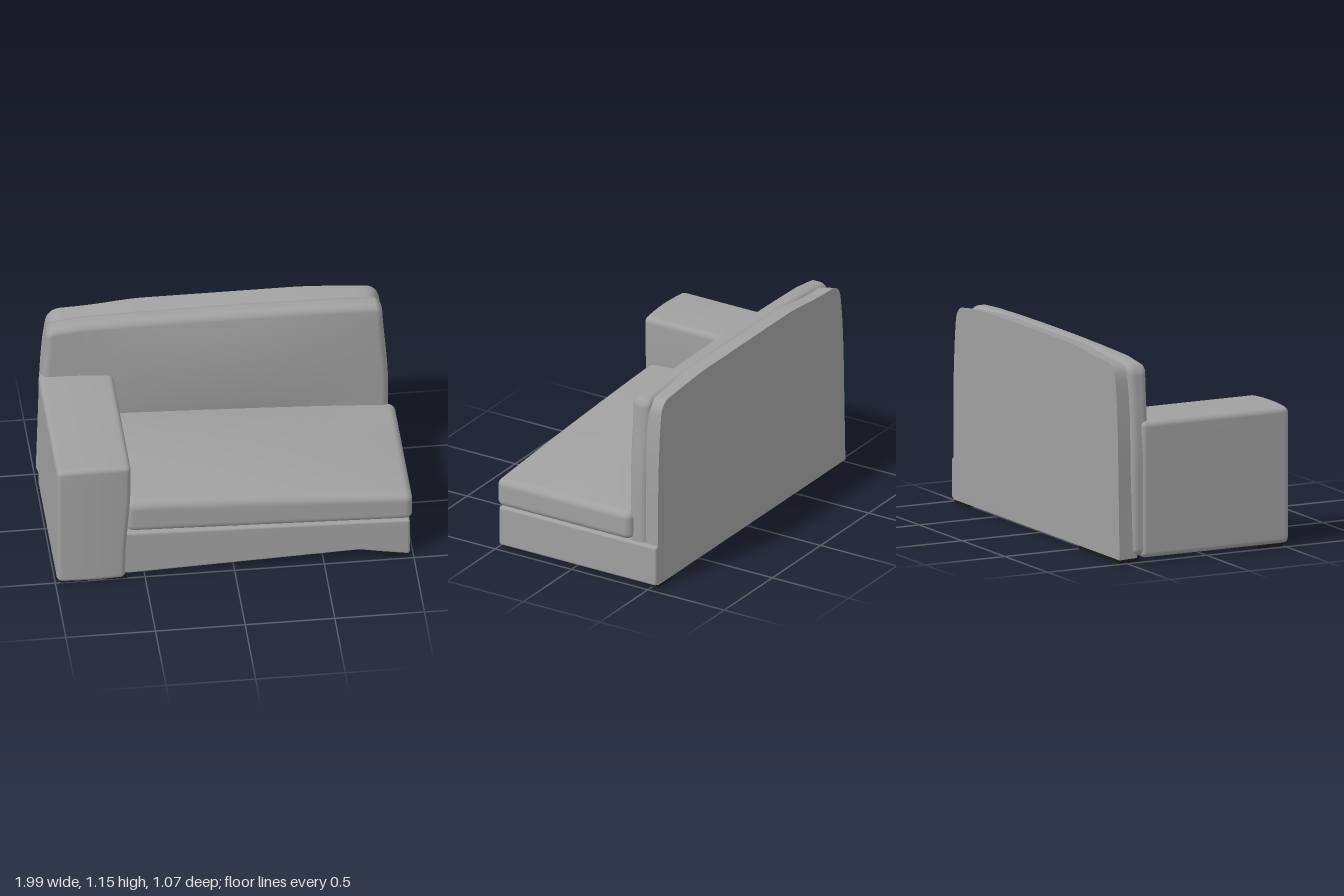
import * as THREE from 'three';
import { mergeVertices, toCreasedNormals } from 'three/addons/utils/BufferGeometryUtils.js';

const N = 20, C = 4; // grid per face, cells used by each rounded edge

// Rounded box between two corners, optionally reshaped by warp(vector)
function softBox(min, max, r, warp) {
  const geo = new THREE.BoxGeometry(2, 2, 2, N, N, N);
  geo.deleteAttribute('uv');
  geo.deleteAttribute('normal');
  const pos = geo.attributes.position;
  const v = new THREE.Vector3(), inner = new THREE.Vector3();
  const spread = (t, a, b) => {
    const i = Math.round((t + 1) * N / 2);
    if (i <= C) return a + r * i / C;
    if (i >= N - C) return b - r * (N - i) / C;
    return a + r + (b - a - 2 * r) * (i - C) / (N - 2 * C);
  };
  const lo = new THREE.Vector3(...min), hi = new THREE.Vector3(...max);
  const innerLo = lo.clone().addScalar(r), innerHi = hi.clone().subScalar(r);
  for (let i = 0; i < pos.count; i++) {
    v.set(spread(pos.getX(i), lo.x, hi.x), spread(pos.getY(i), lo.y, hi.y), spread(pos.getZ(i), lo.z, hi.z));
    inner.copy(v).clamp(innerLo, innerHi);
    v.sub(inner).setLength(r).add(inner);
    if (warp) warp(v);
    pos.setXYZ(i, v.x, v.y, v.z);
  }
  const merged = mergeVertices(geo, 1e-5);
  merged.computeVertexNormals();
  return merged;
}

const lerp = THREE.MathUtils.lerp;
const smooth = THREE.MathUtils.smoothstep;
const bump = (t, a, b) => {
  const u = THREE.MathUtils.clamp((t - a) / (b - a), 0, 1);
  return 4 * u * (1 - u);
};

// Underside height: arches up towards the front edge
const bottomY = (x, z) => {
  const arch = x < 0.7 ? Math.max(0, (x + 0.6) / 1.3) : Math.max(0, (0.95 - x) / 0.25);
  return 0.02 + 0.05 * arch * smooth(z, 0.1, 0.48);
};

export function createModel() {
  const model = new THREE.Group();
  const fabric = new THREE.MeshStandardMaterial({ color: 0xa0a0a0 });
  fabric.name = 'grey fabric';
  const black = new THREE.MeshStandardMaterial({ color: 0x1a1a1a });
  black.name = 'black underside';
  const add = (name, geo, mat = fabric) => {
    const mesh = new THREE.Mesh(geo, mat);
    mesh.name = name;
    model.add(mesh);
  };

  // Base with sloping top and arched underside
  add('base', softBox([-0.64, 0.02, -0.54], [0.98, 0.28, 0.49], 0.015, v => {
    const t = (v.y - 0.02) / 0.26;
    const top = 0.302 - 0.03 * (v.x + 0.6);
    v.y = lerp(bottomY(v.x, v.z), top, t);
  }));

  // Single arm
  add('arm', softBox([-0.993, 0.018, -0.40], [-0.58, 0.785, 0.525], 0.03, v => {
    if (v.x > -0.8) v.x -= 0.03 * (1 - smooth(v.y, 0.1, 0.65));
    v.y += 0.008 * bump(v.x, -1, -0.58) * smooth(v.y, 0.6, 0.78);
    if (v.z > 0.4) v.z += 0.01 * bump(v.x, -1, -0.58);
  }));

  // Seat cushion, crowned and lower at the open end
  add('seatCushion', softBox([-0.605, 0, -0.38], [0.995, 0.19, 0.5], 0.042, v => {
    const t = v.y / 0.19, along = v.x + 0.6;
    const crown = 0.055 * bump(v.x, -0.9, 0.99) * bump(v.z, -0.42, 0.54);
    const top = 0.505 - 0.05 * along + crown;
    v.y = lerp(0.31 - 0.031 * along, top, t);
  }));

  // Back cushion, tapering upwards with a bulging front
  add('backCushion', softBox([-0.985, 0.03, -0.46], [0.96, 1.125, -0.345], 0.04, v => {
    const k = smooth(v.y, 0.55, 1.13);
    v.x *= 1 - 0.035 * k;
    // larger rounding of the upper corners
    const c = Math.max(0, Math.abs(v.x) - 0.84) / 0.1;
    v.y -= 0.035 * c * c * smooth(v.y, 0.9, 1.12);
    v.y += 0.012 * bump(v.x, -0.8, 0.8) * smooth(v.y, 0.95, 1.12);
    if (v.z > -0.4) v.z += 0.035 * bump(v.x, -0.95, 0.95) * bump(v.y, 0.4, 1.13);
  }));

  // Rear panel with a crowned outline, flaring slightly to its flat back
  const outline = new THREE.Shape();
  outline.moveTo(-0.975, 0.02);
  outline.lineTo(0.945, 0.02);
  outline.lineTo(0.945, 0.55);
  outline.quadraticCurveTo(0.94, 0.85, 0.915, 1.03);
  outline.quadraticCurveTo(0.9, 1.11, 0.83, 1.115);
  outline.bezierCurveTo(0.62, 1.13, 0.55, 1.14, 0.4, 1.14);
  outline.lineTo(-0.4, 1.14);
  outline.bezierCurveTo(-0.55, 1.135, -0.6, 1.115, -0.83, 1.11);
  outline.quadraticCurveTo(-0.91, 1.11, -0.925, 1.03);
  outline.quadraticCurveTo(-0.955, 0.85, -0.96, 0.55);
  const panel = new THREE.ExtrudeGeometry(outline, { depth: 0.12, bevelEnabled: false, curveSegments: 10 });
  panel.translate(0, 0, -0.54);
  const pp = panel.attributes.position;
  for (let i = 0; i < pp.count; i++) {
    const rear = pp.getZ(i) < -0.5;
    pp.setX(i, pp.getX(i) * (rear ? 1.012 : 0.995));
    if (pp.getY(i) > 0.9) pp.setY(i, pp.getY(i) + (rear ? 0.008 : -0.012));
  }
  add('rearPanel', toCreasedNormals(panel, 0.6));

  // Dark lining under the front, with an uneven rear edge
  const edge = [[-0.9, 0.3], [-0.84, 0.22], [-0.77, -0.1], [-0.6, 0.03], [-0.5, -0.12], [-0.36, -0.24],
    [0.11, -0.09], [0.16, 0.28], [0.55, 0.29], [0.7, 0.36], [0.9, 0.37]];
  const zAt = x => {
    for (let i = 1; i < edge.length; i++) {
      const [a, za] = edge[i - 1], [b, zb] = edge[i];
      if (x <= b) return lerp(za, zb, (x - a) / (b - a));
    }
    return 0.37;
  };
  const lining = new THREE.PlaneGeometry(1.8, 1, 60, 10);
  const lp = lining.attributes.position;
  for (let i = 0; i < lp.count; i++) {
    const x = lp.getX(i), z = lerp(zAt(x), 0.478, lp.getY(i) + 0.5);
    lp.setXYZ(i, x, Math.min(bottomY(x, z), x < -0.57 ? 0.018 : 1) - 0.005, z);
  }
  lining.computeVertexNormals();
  add('underLining', lining, black);

  // Low feet: x range, z range
  const feet = [[0.8, 0.95, -0.535, -0.36], [-0.97, -0.5, -0.535, -0.4],
    [0.83, 0.95, 0.37, 0.47], [-0.97, -0.82, 0.34, 0.5], [-0.72, -0.6, 0.34, 0.5]];
  for (const [x0, x1, z0, z1] of feet) {
    const foot = new THREE.BoxGeometry(x1 - x0, 0.03, z1 - z0);
    foot.translate((x0 + x1) / 2, 0.015, (z0 + z1) / 2);
    add('foot', foot, black);
  }
  return model;
}
